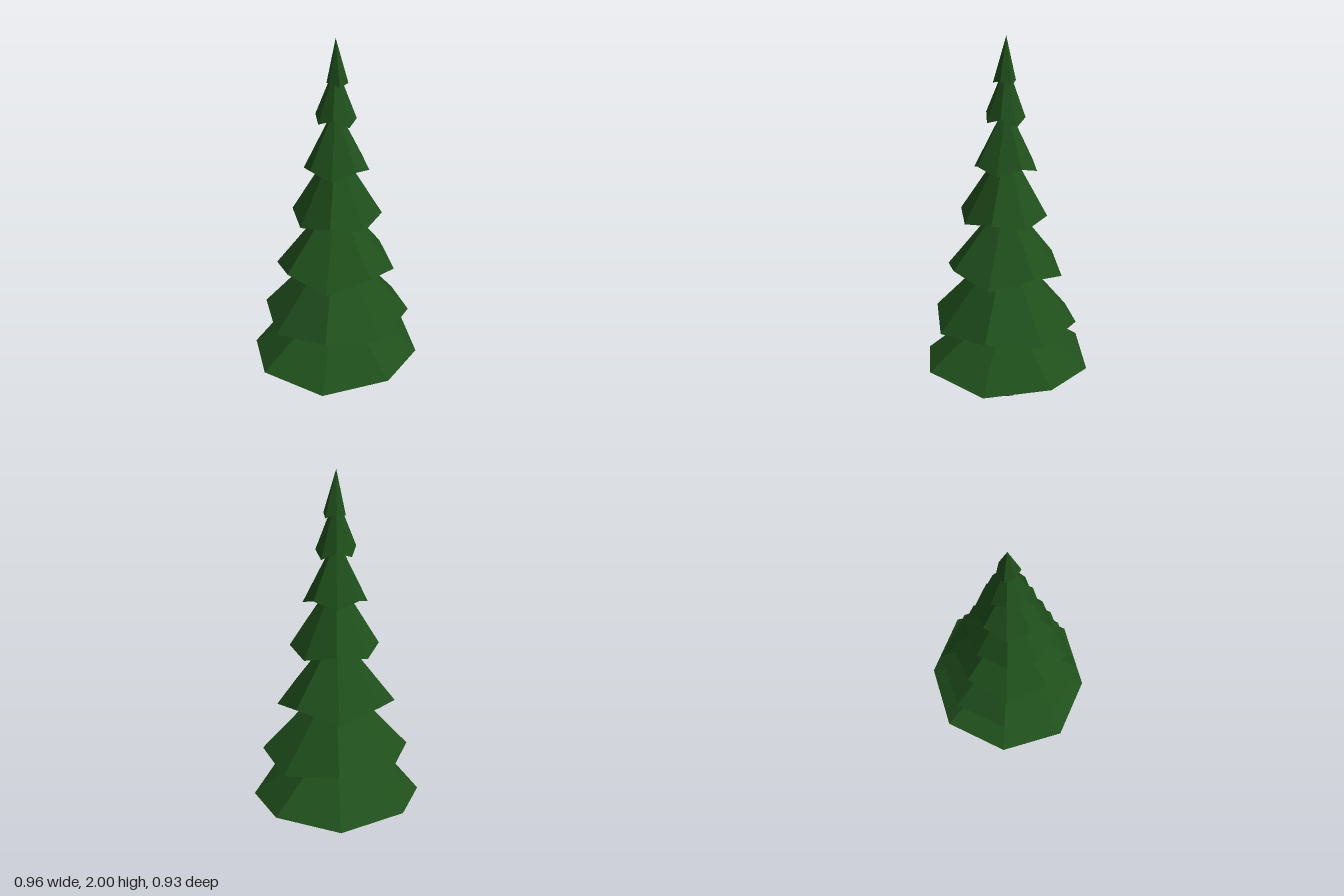
import * as THREE from 'three';

// Each tier: apex height, underside centre height, number of rim corners,
// radius and height of the even and odd corners, sideways tilt, shift of the rim in x and z.
const TIERS = [
  { apex: 0.58, base: 0.24, sides: 8, radius: [0.482, 0.467], height: [0.243, 0.21], tilt: 0.01, shift: [-0.003, 0] },
  { apex: 0.92, base: 0.48, sides: 8, radius: [0.405, 0.404], height: [0.458, 0.492], tilt: 0, shift: [0, 0.008] },
  { apex: 1.17, base: 0.78, sides: 8, radius: [0.313, 0.325], height: [0.8, 0.748], tilt: 0, shift: [-0.01, 0.008] },
  { apex: 1.46, base: 1.07, sides: 8, radius: [0.237, 0.241], height: [1.052, 1.084], tilt: 0, shift: [-0.003, 0.015] },
  { apex: 1.66, base: 1.335, sides: 8, radius: [0.168, 0.173], height: [1.352, 1.318], tilt: 0.02, shift: [0, 0.006] },
  { apex: 1.87, base: 1.6, sides: 8, radius: [0.112, 0.106], height: [1.572, 1.606], tilt: -0.11, shift: [0, 0.003] },
  { apex: 2, base: 1.79, sides: 6, radius: [0.064, 0.054], height: [1.768, 1.785], tilt: -0.06, shift: [0.008, 0.01] },
];
const DEPTH = 0.97; // the rims are slightly narrower front to back
const TWIST = -0.02; // and turned a little about the trunk

// Faceted cone with a zigzag rim and a closed underside
function tierGeometry({ apex, base, sides, radius, height, tilt, shift }) {
  const corner = (i) => {
    const angle = (i / sides) * Math.PI * 2 + TWIST;
    const x = radius[i % 2] * Math.cos(angle) + shift[0];
    const z = -radius[i % 2] * DEPTH * Math.sin(angle) + shift[1];
    return [x, height[i % 2] + tilt * x, z];
  };
  const positions = [];
  for (let i = 0; i < sides; i++) {
    const a = corner(i);
    const b = corner(i + 1);
    positions.push(...a, ...b, 0, apex, 0);
    positions.push(...b, ...a, 0, base, 0);
  }
  const geometry = new THREE.BufferGeometry();
  geometry.setAttribute('position', new THREE.Float32BufferAttribute(positions, 3));
  geometry.computeVertexNormals();
  return geometry;
}

export function createModel() {
  const tree = new THREE.Group();
  tree.name = 'pineTree';

  // Foliage
  const needles = new THREE.MeshStandardMaterial({ color: 0x1f4f1b, flatShading: true });
  const foliage = new THREE.Group();
  foliage.name = 'foliage';
  TIERS.forEach((tier, i) => {
    const mesh = new THREE.Mesh(tierGeometry(tier), needles);
    mesh.name = `branchTier${i + 1}`;
    foliage.add(mesh);
  });
  tree.add(foliage);

  // Trunk, flaring towards the ground
  const bark = new THREE.MeshStandardMaterial({ color: 0x2b1d14, flatShading: true });
  const profile = [[0, 0], [0.073, 0], [0.06, 0.11], [0.058, 0.213], [0, 0.213]]
    .map(([r, y]) => new THREE.Vector2(r, y));
  const trunk = new THREE.Mesh(new THREE.LatheGeometry(profile, 8), bark);
  trunk.name = 'trunk';
  tree.add(trunk);

  return tree;
}
